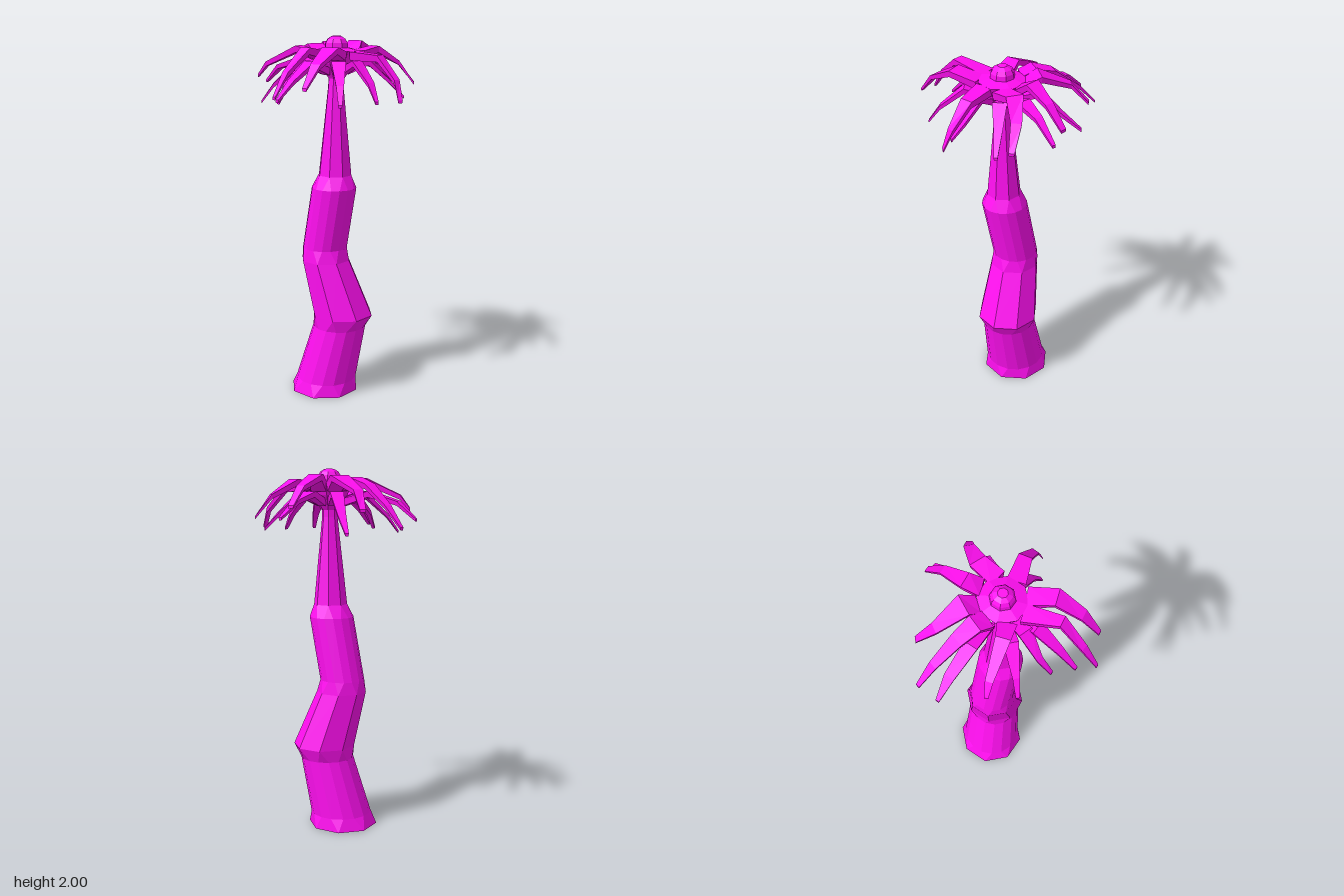
import * as THREE from 'three';

const material = new THREE.MeshStandardMaterial({ color: 0xff0ff0, flatShading: true });

// Skin a closed, capped solid through rings of equal point count (counter-clockwise along the path).
function loft(name, rings) {
  const pos = [];
  const n = rings[0].length;
  const tri = (a, b, c) => {
    const area = new THREE.Triangle(a, b, c).getArea();
    if (area > 1e-8) pos.push(...a.toArray(), ...b.toArray(), ...c.toArray());
  };
  for (let r = 0; r < rings.length - 1; r++) {
    const lo = rings[r], hi = rings[r + 1];
    for (let i = 0; i < n; i++) {
      const j = (i + 1) % n;
      tri(lo[i], lo[j], hi[j]);
      tri(lo[i], hi[j], hi[i]);
    }
  }
  const first = rings[0], last = rings[rings.length - 1];
  for (let i = 1; i < n - 1; i++) {
    tri(first[0], first[i + 1], first[i]);
    tri(last[0], last[i], last[i + 1]);
  }
  const geometry = new THREE.BufferGeometry();
  geometry.setAttribute('position', new THREE.Float32BufferAttribute(pos, 3));
  geometry.computeVertexNormals();
  const mesh = new THREE.Mesh(geometry, material);
  mesh.name = name;
  return mesh;
}

// Octagon ring whose corners are cut back by a fraction of each edge (0 = sharp corners).
function octagon(x, y, z, r, cut = 0) {
  const corner = k => new THREE.Vector3(
    x + r * Math.sin(k * Math.PI / 4), y, z + r * Math.cos(k * Math.PI / 4));
  const ring = [];
  for (let k = 0; k < 8; k++) {
    ring.push(corner(k).lerp(corner(k - 1), cut), corner(k).lerp(corner(k + 1), cut));
  }
  return ring;
}

// Tapering, drooping frond through stations [x, y, z, width].
function frond(name, stations, thickRoot, thickTip) {
  const pts = stations.map(s => new THREE.Vector3(s[0], s[1], s[2]));
  const last = pts.length - 1;
  const rings = pts.map((p, i) => {
    const d = pts[Math.min(i + 1, last)].clone().sub(pts[Math.max(i - 1, 0)]).setY(0).normalize();
    const side = new THREE.Vector3(d.z, 0, -d.x).multiplyScalar(stations[i][3] / 2);
    const h = THREE.MathUtils.lerp(thickRoot, thickTip, i / last);
    const at = (s, drop) => p.clone().addScaledVector(side, s).setY(p.y - drop);
    return [at(-0.85, h), at(0.85, h), at(1, 0), at(-1, 0)];
  });
  return loft(name, rings);
}

export function createModel() {
  const model = new THREE.Group();
  model.name = 'palmTree';

  // Bent trunk: x, y, z, radius, corner cut
  const cut = 0.27;
  model.add(loft('trunk', [
    [-0.018, 0, 0, 0.193, 0],
    [-0.01, 0.07, 0.008, 0.18, cut],
    [0.045, 0.39, 0.065, 0.157, cut],
    [0.06, 0.46, 0.075, 0.172, 0],
    [-0.015, 0.77, 0.01, 0.138, 0],
    [-0.017, 0.84, 0.005, 0.131, cut],
    [0.006, 1.19, 0.073, 0.13, cut],
    [0.01, 1.26, 0.077, 0.093, 0],
    [0.012, 1.74, 0.08, 0.043, 0],
    [0.014, 1.86, 0.08, 0.04, 0],
  ].map(s => octagon(...s))));

  // Crown hub with a small bud on top
  const cx = 0.015, cz = 0.08;
  model.add(loft('crownHub', [
    [1.78, 0.045], [1.86, 0.1], [1.925, 0.127], [1.94, 0.065],
    [1.965, 0.062], [1.985, 0.05], [2.0, 0.026],
  ].map(([y, r]) => octagon(cx, y, cz, r))));

  // Upper fronds, one on each edge of the hub
  const upper = [
    [[-0.025, 1.955, -0.098, 0.094], [-0.035, 1.92, -0.207, 0.074], [-0.042, 1.81, -0.348, 0.047], [-0.052, 1.7, -0.446, 0.023]],
    [[0.078, 1.965, -0.094, 0.115], [0.083, 1.89, -0.258, 0.058], [0.122, 1.79, -0.344, 0.033]],
    [[0.18, 1.97, -0.022, 0.085], [0.309, 1.91, -0.065, 0.05], [0.401, 1.81, -0.106, 0.034]],
    [[0.243, 1.945, 0.088, 0.09], [0.37, 1.865, 0.12, 0.055], [0.442, 1.75, 0.167, 0.03]],
    [[0.153, 1.91, 0.303, 0.07], [0.2, 1.79, 0.4, 0.04], [0.199, 1.69, 0.441, 0.027]],
    [[-0.124, 1.955, 0.294, 0.093], [-0.242, 1.88, 0.37, 0.06], [-0.324, 1.77, 0.417, 0.026]],
    [[-0.238, 1.955, 0.244, 0.06], [-0.368, 1.84, 0.287, 0.04], [-0.444, 1.725, 0.321, 0.018]],
    [[-0.155, 1.95, -0.03, 0.075], [-0.271, 1.86, -0.183, 0.04], [-0.307, 1.79, -0.222, 0.022]],
  ];
  const upperFronds = new THREE.Group();
  upperFronds.name = 'upperFronds';
  upper.forEach((stations, i) => {
    const a = (180 - 45 * (i - 0.5)) * Math.PI / 180;
    const root = [cx + 0.115 * Math.sin(a), 1.925, cz + 0.115 * Math.cos(a), 0.097];
    upperFronds.add(frond('upperFrond', [root, ...stations], 0.045, 0.015));
  });
  model.add(upperFronds);

  // Lower fronds: tip x, y, z, then knee x, z and knee width
  const lower = [
    [-0.18, 1.74, -0.413, -0.14, -0.318, 0.055],
    [0.18, 1.67, -0.288, 0.14, -0.195, 0.045],
    [0.428, 1.75, -0.05, 0.3, -0.015, 0.045],
    [0.35, 1.685, 0.218, 0.275, 0.183, 0.042],
    [0.1, 1.68, 0.375, 0.1, 0.31, 0.045],
    [-0.137, 1.68, 0.432, -0.11, 0.375, 0.04],
    [-0.393, 1.7, 0.237, -0.3, 0.2, 0.045],
    [-0.342, 1.68, 0.132, -0.28, 0.1, 0.035],
    [-0.352, 1.665, -0.072, -0.295, -0.045, 0.035],
  ];
  const lowerFronds = new THREE.Group();
  lowerFronds.name = 'lowerFronds';
  for (const [tx, ty, tz, kx, kz, w] of lower) {
    const toward = (t, y, width) => [cx + (kx - cx) * t, y, cz + (kz - cz) * t, width];
    lowerFronds.add(frond('lowerFrond', [
      toward(0.22, 1.84, 0.05), toward(0.6, 1.88, 0.075),
      [kx, ty + 0.09, kz, w], [tx, ty, tz, 0.02],
    ], 0.04, 0.015));
  }
  model.add(lowerFronds);

  return model;
}
